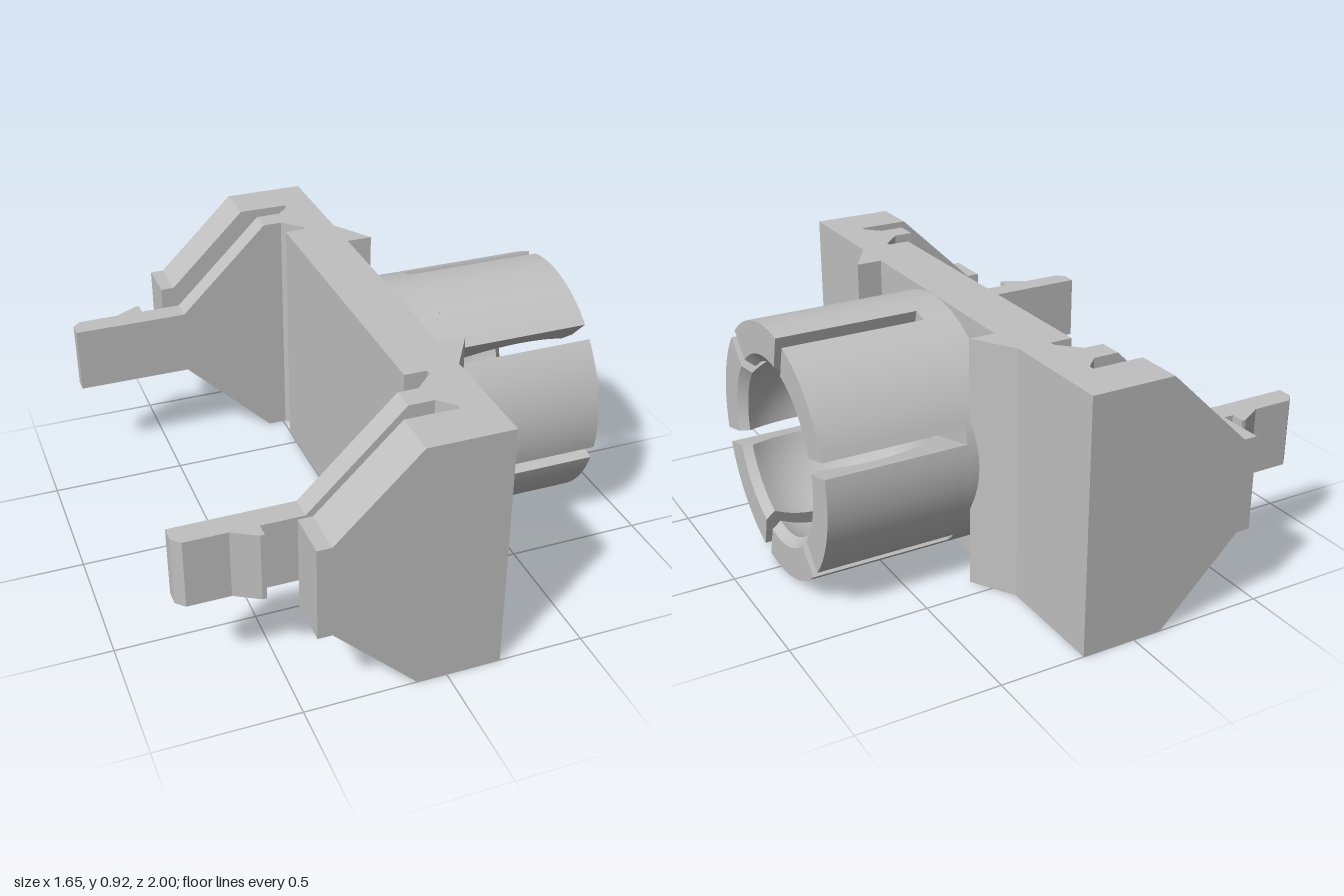
import * as THREE from 'three';
import { toCreasedNormals } from 'three/addons/utils/BufferGeometryUtils.js';

const AXIS_Y = 0.457, HEIGHT = 0.915;
const OUTER_R = 0.457, BALL_R = 0.363, BALL_X = 0.606;
const BASE_X = 0.195, SLOT_X = 0.31, LIP_X = 0.795, END_X = 0.825;
const SLOT_HALF = 0.0275;

const ballRadius = (x) => Math.sqrt(Math.max(0, BALL_R ** 2 - (x - BALL_X) ** 2));
const shapeOf = (pts) => new THREE.Shape(pts.map(([a, b]) => new THREE.Vector2(a, b)));

// Outline in x and z, extruded upwards from y0 to y1
function extrudeUp(pts, y0, y1) {
  const g = new THREE.ExtrudeGeometry(shapeOf(pts.map(([x, z]) => [x, -z])), { depth: y1 - y0, bevelEnabled: false });
  return g.rotateX(-Math.PI / 2).translate(0, y0, 0);
}

// Outline in x and y, extruded between z0 and z1
function extrudeSide(pts, z0, z1) {
  const lo = Math.min(z0, z1);
  const g = new THREE.ExtrudeGeometry(shapeOf(pts), { depth: Math.abs(z1 - z0), bevelEnabled: false });
  return g.translate(0, 0, lo);
}

// One springy finger of the socket, swept along x, with parallel-sided slots next to it
function fingerGeometry(t0, t1) {
  const n = 14, m = 16, stations = [];
  for (let i = 0; i <= m; i++) {
    const x = SLOT_X + (LIP_X - SLOT_X) * i / m;
    stations.push([x, ballRadius(x)]);
  }
  stations.push([END_X, 0.342]);
  const pos = [], idx = [], loop = 2 * (n + 1);
  for (const [x, inner] of stations) {
    for (let k = 0; k < loop; k++) {
      const r = k <= n ? OUTER_R : inner;
      const f = (k <= n ? k : loop - 1 - k) / n;
      const gap = Math.asin(SLOT_HALF / r);
      const t = t0 + gap + (t1 - t0 - 2 * gap) * f;
      pos.push(x, AXIS_Y + r * Math.sin(t), -r * Math.cos(t));
    }
  }
  for (let s = 0; s < stations.length - 1; s++) {
    for (let k = 0; k < loop; k++) {
      const a = s * loop + k, b = s * loop + (k + 1) % loop;
      idx.push(a, b, b + loop, a, b + loop, a + loop);
    }
  }
  // End face
  const e = (stations.length - 1) * loop;
  for (let k = 0; k < n; k++) {
    const innerK = e + loop - 1 - k;
    idx.push(e + k, e + k + 1, innerK - 1, e + k, innerK - 1, innerK);
  }
  const g = new THREE.BufferGeometry();
  g.setAttribute('position', new THREE.Float32BufferAttribute(pos, 3));
  g.setIndex(idx);
  return toCreasedNormals(g, 0.45);
}

export function createModel() {
  const model = new THREE.Group();
  const grey = new THREE.MeshStandardMaterial({ color: 0xc0c0c0 });
  grey.name = 'grey plastic';
  const add = (name, geometry, parent = model) => {
    const mesh = new THREE.Mesh(geometry, grey);
    mesh.name = name;
    parent.add(mesh);
  };

  // Back plate with relief grooves, clip roots and wedge ribs
  const half = [
    [0, 0.585], [0.08, 0.585], [0.08, 0.605], [0.01, 0.675], [-0.06, 0.675], [-0.06, 0.76],
    [0.03, 0.76], [0.08, 0.81], [0.08, 0.83], [-0.105, 0.83], [-0.105, 1], [BASE_X, 1],
    [BASE_X, 0.58], [0.29, 0.425], [BASE_X, 0.425],
  ];
  const mirrored = half.map(([x, z]) => [x, -z]).reverse();
  add('backPlate', extrudeUp([...half, ...mirrored], 0, HEIGHT));

  // Tapered side flanges and snap clips, mirrored in z
  for (const s of [1, -1]) {
    const side = s > 0 ? 'left' : 'right';
    add(side + 'Flange', extrudeSide([
      [-0.105, 0], [-0.105, HEIGHT], [-0.4, 0.63], [-0.45, 0.63], [-0.45, 0.29], [-0.4, 0.29],
    ], s * 0.83, s * 1));

    const clip = new THREE.Group();
    clip.name = side + 'Clip';
    model.add(clip);
    add('clipArm', extrudeSide([
      [-0.06, 0], [-0.06, HEIGHT], [-0.4, 0.585], [-0.4, 0.335],
    ], s * 0.675, s * 0.76), clip);
    add('clipHook', extrudeUp([
      [-0.4, 0.675], [-0.83, 0.675], [-0.83, 0.73], [-0.8, 0.76], [-0.65, 0.76],
      [-0.565, 0.81], [-0.55, 0.81], [-0.55, 0.76], [-0.4, 0.76],
    ].map(([x, z]) => [x, s * z]), 0.335, 0.585), clip);
  }

  // Closed base of the ball socket
  const profile = [[OUTER_R, BASE_X], [OUTER_R, SLOT_X]];
  const start = Math.acos((BALL_X - SLOT_X) / BALL_R);
  for (let i = 0; i <= 8; i++) {
    const a = start * (1 - i / 8);
    profile.push([BALL_R * Math.sin(a), BALL_X - BALL_R * Math.cos(a)]);
  }
  const base = new THREE.LatheGeometry(profile.map(([r, x]) => new THREE.Vector2(r, x)), 72);
  base.rotateZ(-Math.PI / 2).translate(0, AXIS_Y, 0);
  add('socketBase', toCreasedNormals(base, 0.45));

  // Six socket fingers
  const socket = new THREE.Group();
  socket.name = 'socketFingers';
  model.add(socket);
  for (let i = 0; i < 6; i++) {
    const t = Math.PI / 12 + i * Math.PI / 3;
    add('socketFinger', fingerGeometry(t, t + Math.PI / 3), socket);
  }
  return model;
}
